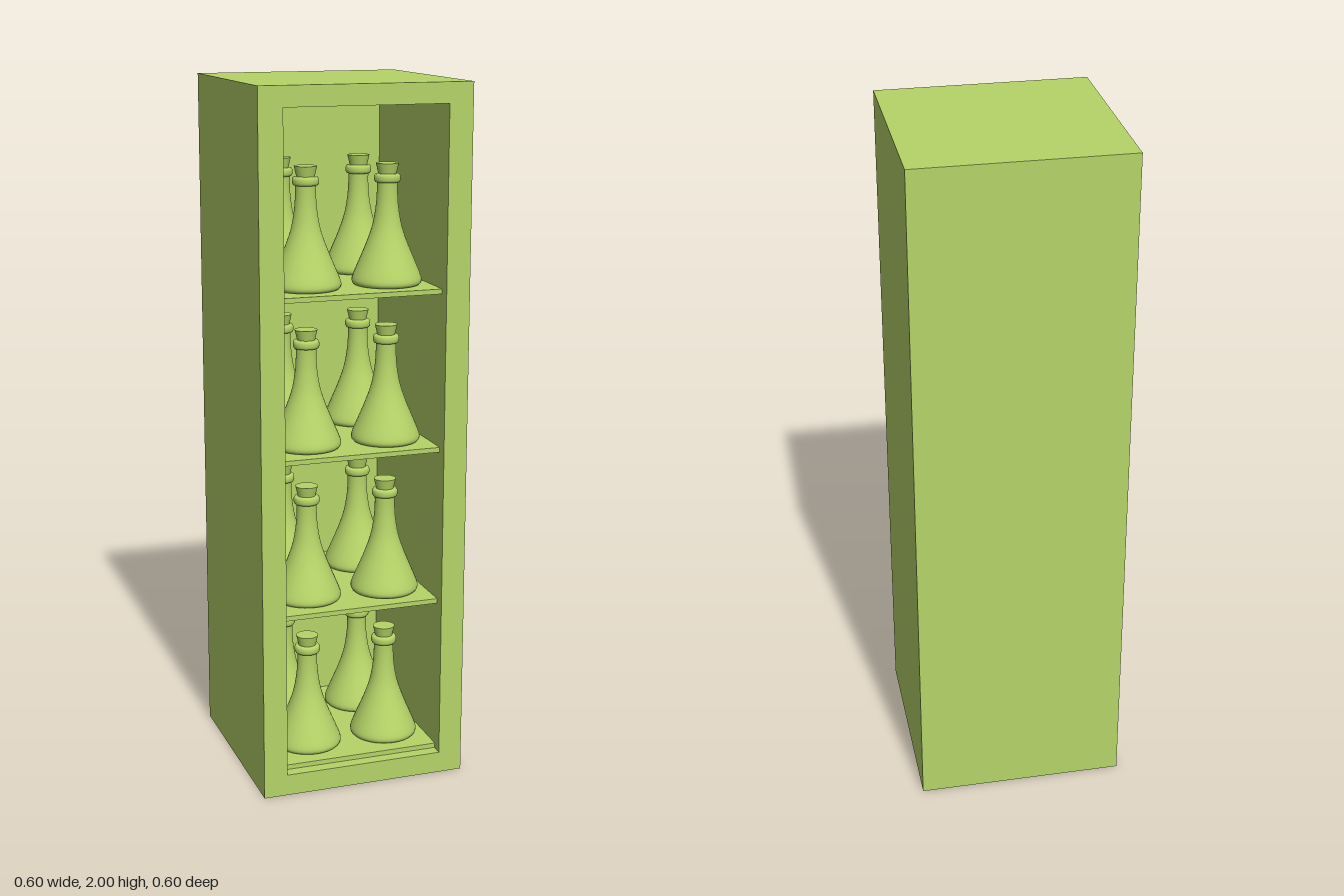
import * as THREE from 'three';

const SIZE = 0.604, HEIGHT = 2;
const HALF = 0.233, LOW = 0.062, HIGH = 1.943; // niche opening
const FRONT = SIZE / 2, BACK = -0.236;
const SHELF = 0.014, PITCH = 0.453;

const green = new THREE.MeshStandardMaterial({ color: 0xb5d468 });

function add(parent, name, geometry) {
  const mesh = new THREE.Mesh(geometry, green);
  mesh.name = name;
  parent.add(mesh);
  return mesh;
}

// Box without its +z face; inward turns it inside out
function openBox(w, h, d, inward = false) {
  const g = new THREE.BoxGeometry(w, h, d);
  const index = Array.from(g.index.array);
  index.splice(24, 6);
  if (inward) {
    index.reverse();
    g.attributes.normal.array.forEach((n, i, a) => { a[i] = -n; });
  }
  g.setIndex(index);
  return g;
}

// Front face with a rectangular opening
function frontFrame() {
  const s = SIZE / 2;
  const shape = new THREE.Shape([[-s, 0], [s, 0], [s, HEIGHT], [-s, HEIGHT]].map(p => new THREE.Vector2(...p)));
  shape.holes.push(new THREE.Path(
    [[-HALF, LOW], [-HALF, HIGH], [HALF, HIGH], [HALF, LOW]].map(p => new THREE.Vector2(...p))));
  return new THREE.ShapeGeometry(shape).translate(0, 0, FRONT);
}

const lathe = pts => new THREE.LatheGeometry(pts.map(p => new THREE.Vector2(...p)), 32);

// Flask body: rounded foot and a smooth flare up to the neck
const flare = new THREE.SplineCurve([
  [0.092, 0], [0.098, 0.008], [0.096, 0.024], [0.079, 0.065], [0.058, 0.115],
  [0.041, 0.165], [0.032, 0.215], [0.029, 0.255], [0.029, 0.284],
].map(p => new THREE.Vector2(...p))).getPoints(28).map(p => [p.x, p.y]);
const bodyGeometry = lathe([[0, 0], ...flare]);
const lipGeometry = lathe([
  [0.026, 0.283], [0.034, 0.285], [0.037, 0.291], [0.037, 0.301],
  [0.034, 0.307], [0.022, 0.309], [0, 0.309],
]);
const stopperGeometry = new THREE.CylinderGeometry(0.032, 0.025, 0.03, 32).translate(0, 0.322, 0);

function createBottle() {
  const bottle = new THREE.Group();
  bottle.name = 'bottle';
  add(bottle, 'bottleBody', bodyGeometry);
  add(bottle, 'bottleLip', lipGeometry);
  add(bottle, 'stopper', stopperGeometry);
  return bottle;
}

export function createModel() {
  const model = new THREE.Group();
  model.name = 'bottleCabinet';

  // Cabinet shell, front frame and recessed niche
  add(model, 'cabinetShell', openBox(SIZE, HEIGHT, SIZE)).position.y = HEIGHT / 2;
  add(model, 'frontFrame', frontFrame());
  add(model, 'nicheLining', openBox(HALF * 2, HIGH - LOW, FRONT - BACK, true))
    .position.set(0, (HIGH + LOW) / 2, (FRONT + BACK) / 2);

  // Four shelves, each with two rows of two bottles
  const depth = 0.505, middle = BACK + depth / 2;
  const shelfGeometry = new THREE.BoxGeometry(HALF * 2, SHELF, depth);
  for (let i = 0; i < 4; i++) {
    const y = LOW + 0.001 + i * PITCH;
    add(model, 'shelf', shelfGeometry).position.set(0, y + SHELF / 2, middle);
    for (const sx of [-1, 1]) for (const sz of [-1, 1]) {
      const bottle = createBottle();
      bottle.position.set(sx * 0.119, y + SHELF, middle + sz * 0.119);
      model.add(bottle);
    }
  }
  return model;
}
